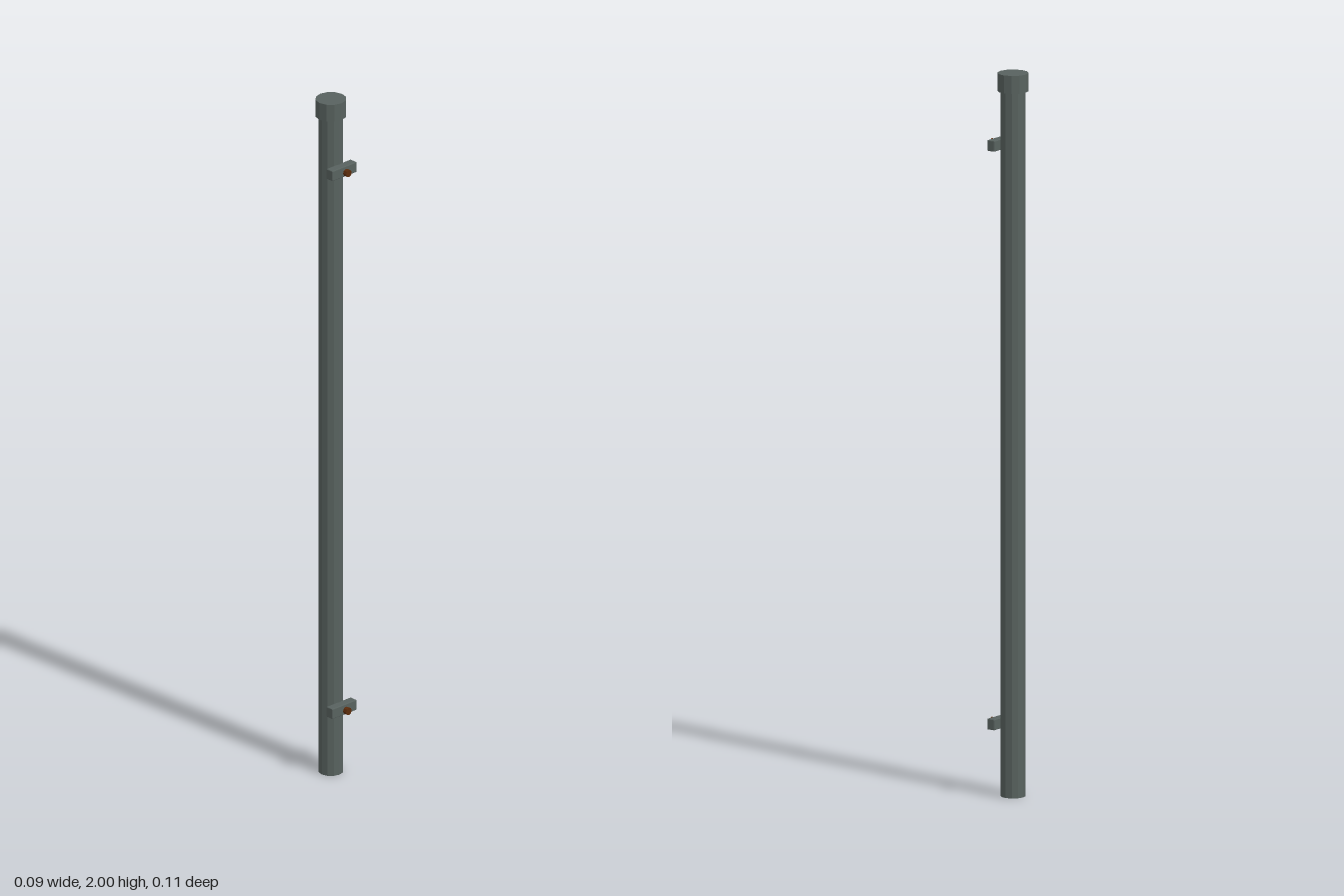
import * as THREE from 'three';
import { RoundedBoxGeometry } from 'three/addons/geometries/RoundedBoxGeometry.js';

export function createModel() {
  const group = new THREE.Group();
  const steel = new THREE.MeshStandardMaterial({ name: 'greyGreenSteel', color: 0x58625f, flatShading: true });
  const rust = new THREE.MeshStandardMaterial({ name: 'rustyBolt', color: 0x5c2c0c, flatShading: true });
  const axisZ = -0.015;

  const add = (name, geometry, material, x, y, z) => {
    const mesh = new THREE.Mesh(geometry, material);
    mesh.name = name;
    mesh.position.set(x, y, z);
    group.add(mesh);
    return mesh;
  };

  // Post with a wider cap on top
  add('post', new THREE.CylinderGeometry(0.034, 0.034, 1.95, 12), steel, 0, 0.975, axisZ);
  add('cap', new THREE.CylinderGeometry(0.0425, 0.0425, 0.05, 12), steel, 0, 1.975, axisZ);

  // Two mounting brackets, each with a bolt head in front
  const bracket = new RoundedBoxGeometry(0.09, 0.03, 0.024, 1, 0.002);
  const bolt = new THREE.CylinderGeometry(0.0105, 0.0105, 0.012, 8).rotateX(Math.PI / 2);
  for (const [place, y] of [['lower', 0.2], ['upper', 1.8]]) {
    add(place + 'Bracket', bracket, steel, 0, y, 0.027);
    add(place + 'Bolt', bolt, rust, 0, y, 0.05);
  }
  return group;
}
